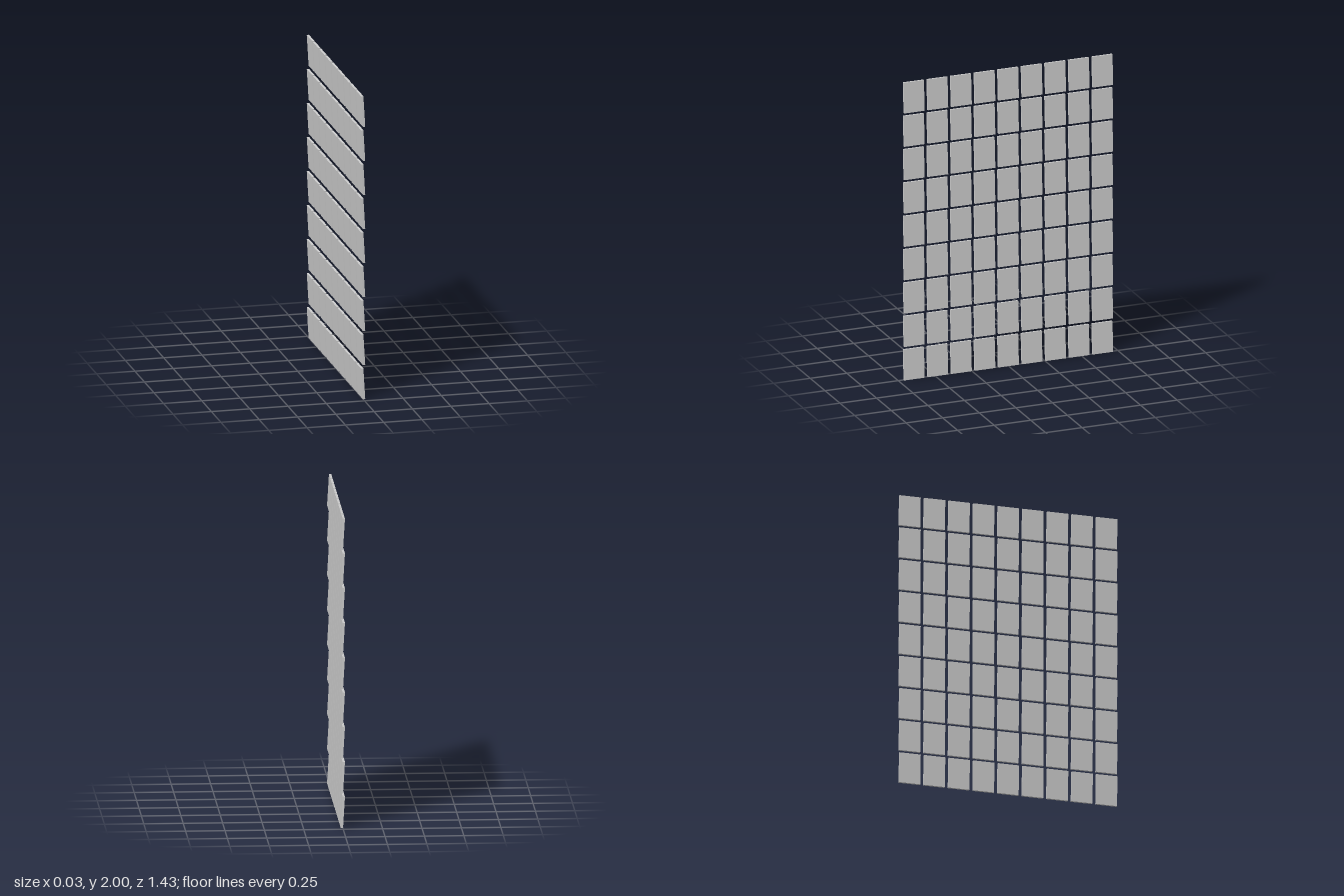
import * as THREE from 'three';

const COUNT = 9;          // tiles per row and per column
const TILT = 0.06;        // each tile leans its top towards -x
const THICK = 0.0145, HEIGHT = 0.203, WIDTH = 0.139;
const PITCH_Z = 0.161;

export function createModel() {
  const model = new THREE.Group();
  model.name = 'tileScreen';
  const material = new THREE.MeshStandardMaterial({ color: 0xcccccc });
  const geometry = new THREE.BoxGeometry(THICK, HEIGHT, WIDTH);

  // vertical extent of one tilted tile, so the grid spans y = 0 to 2
  const span = HEIGHT * Math.cos(TILT) + THICK * Math.sin(TILT);
  const pitchY = (2 - span) / (COUNT - 1);

  for (let r = 0; r < COUNT; r++) {
    // one horizontal row of tiles
    const row = new THREE.Group();
    row.name = `tileRow${r + 1}`;
    row.position.y = span / 2 + r * pitchY;
    row.rotation.z = TILT;
    for (let c = 0; c < COUNT; c++) {
      const tile = new THREE.Mesh(geometry, material);
      tile.name = `tile${c + 1}`;
      tile.position.z = (c - (COUNT - 1) / 2) * PITCH_Z;
      row.add(tile);
    }
    model.add(row);
  }
  return model;
}
